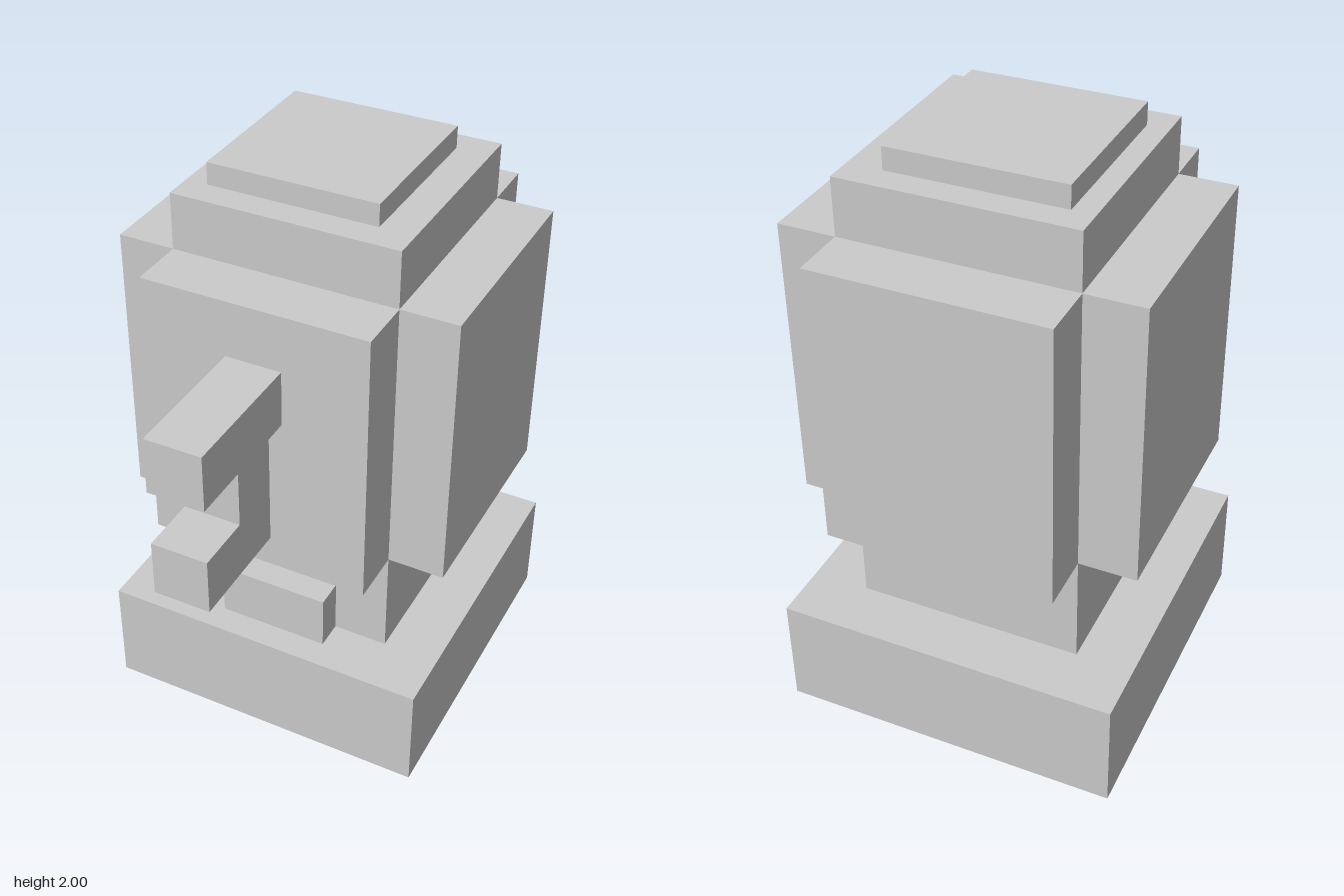
import * as THREE from 'three';

const material = new THREE.MeshStandardMaterial({ color: 0xcccccc, flatShading: true });

// Box given by its extents along each axis
function block(name, [x0, x1], [y0, y1], [z0, z1]) {
  const geometry = new THREE.BoxGeometry(x1 - x0, y1 - y0, z1 - z0);
  geometry.translate((x0 + x1) / 2, (y0 + y1) / 2, (z0 + z1) / 2);
  const mesh = new THREE.Mesh(geometry, material);
  mesh.name = name;
  return mesh;
}

export function createModel() {
  const model = new THREE.Group();
  model.name = 'blockStatue';

  const centerZ = -0.23;
  const inner = 0.382; // half width of the column
  const outer = 0.575; // half width of the base and panels

  // Square base, central column and slightly offset cap
  model.add(
    block('base', [-outer, outer], [0, 0.385], [centerZ - outer, centerZ + outer]),
    block('column', [-inner, inner], [0.385, 1.925], [centerZ - inner, centerZ + inner]),
    block('cap', [-0.308, 0.266], [1.925, 2], [-0.52, 0.055])
  );

  // Four raised panels around the column
  const panels = new THREE.Group();
  panels.name = 'panels';
  panels.position.z = centerZ;
  ['frontPanel', 'leftPanel', 'backPanel', 'rightPanel'].forEach((name, i) => {
    const panel = block(name, [-inner, inner], [0.77, 1.733], [inner, outer]);
    panel.rotation.y = i * Math.PI / 2;
    panels.add(panel);
  });
  model.add(panels);

  // Small ledge at the foot of the column
  model.add(block('ledge', [-0.193, 0.193], [0.385, 0.578], [0.152, 0.25]));

  // C-shaped hook: side profile in (z, y), extruded across x
  const front = 0.808, back = 0.345, stemBack = 0.428, stemFront = 0.615;
  const profile = new THREE.Shape([
    [back, 1.348], [stemBack, 1.348], [stemBack, 0.963], [front, 0.963],
    [front, 1.155], [stemFront, 1.155], [stemFront, 1.348], [front, 1.348],
    [front, 1.54], [back, 1.54]
  ].map(([z, y]) => new THREE.Vector2(z, y)));
  const hookGeometry = new THREE.ExtrudeGeometry(profile, { depth: 0.19, bevelEnabled: false });
  hookGeometry.rotateY(-Math.PI / 2).translate(0.095, 0, 0);
  const hook = new THREE.Mesh(hookGeometry, material);
  hook.name = 'hook';
  model.add(hook);

  return model;
}
